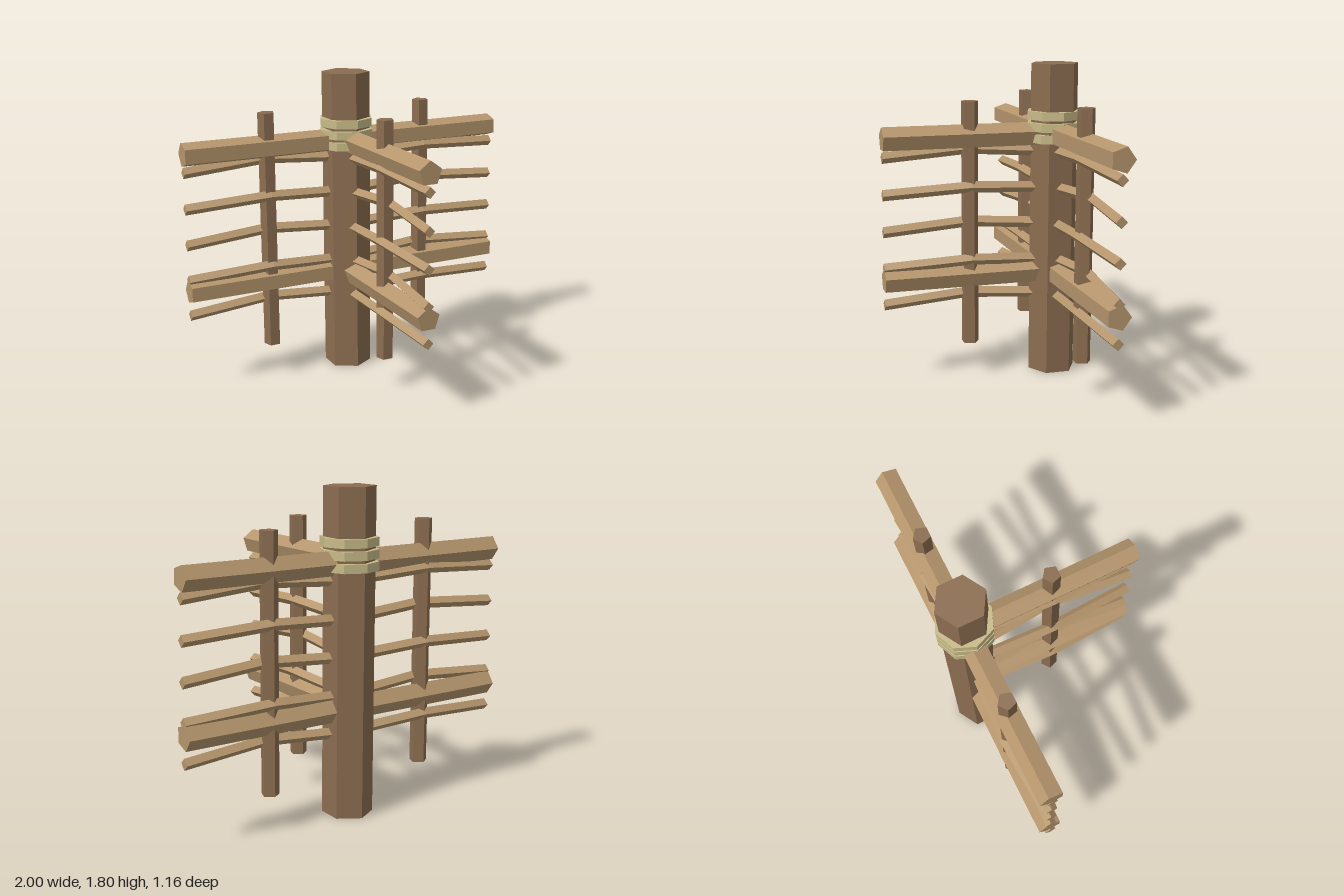
import * as THREE from 'three';

const POST_Z = -0.42;

// Four-sided stick lofted along +x through three diamond sections, bent at the middle
function slatGeometry(bend, r = 0.032) {
  const sections = [[0, 0, 0], [0.5, 0.03, bend], [1, 0, 0]];
  const corner = ([x, y, z], k) => {
    const a = (k * Math.PI) / 2;
    return [x, y + r * Math.cos(a), z + r * Math.sin(a)];
  };
  const pos = [];
  const quad = (a, b, c, d) => pos.push(...a, ...b, ...c, ...a, ...c, ...d);
  for (let i = 0; i < 2; i++) {
    const s = sections[i], t = sections[i + 1];
    for (let k = 0; k < 4; k++) quad(corner(s, k), corner(s, k + 1), corner(t, k + 1), corner(t, k));
  }
  const e = sections[2], b = sections[0];
  quad(corner(e, 0), corner(e, 1), corner(e, 2), corner(e, 3));
  quad(corner(b, 3), corner(b, 2), corner(b, 1), corner(b, 0));
  const g = new THREE.BufferGeometry();
  g.setAttribute('position', new THREE.Float32BufferAttribute(pos, 3));
  g.computeVertexNormals();
  return g;
}

export function createModel() {
  const material = (name, color) => {
    const m = new THREE.MeshStandardMaterial({ color, flatShading: true });
    m.name = name;
    return m;
  };
  const darkWood = material('dark wood', 0x8b6d50);
  const lightWood = material('light wood', 0xb5956c);
  const rope = material('rope', 0xc8bb88);

  const model = new THREE.Group();
  model.name = 'fenceJunction';
  const add = (parent, name, geometry, mat, x = 0, y = 0, z = 0) => {
    const mesh = new THREE.Mesh(geometry, mat);
    mesh.name = name;
    mesh.position.set(x, y, z);
    parent.add(mesh);
    return mesh;
  };

  // Central hexagonal post
  add(model, 'post', new THREE.CylinderGeometry(0.14, 0.14, 1.8, 6), darkWood, 0, 0.9, POST_Z);

  // Rope lashing
  for (const y of [1.38, 1.445, 1.51]) {
    add(model, 'ropeBand', new THREE.CylinderGeometry(0.16, 0.16, 0.048, 8), rope, 0, y, POST_Z);
  }

  // Three fence arms, each laid out along its own +x
  const arms = [
    { name: 'leftArm', turn: 0, railRoll: Math.PI },
    { name: 'rightArm', turn: Math.PI, railRoll: 0 },
    { name: 'frontArm', turn: -Math.PI / 2, railRoll: -Math.PI / 2 },
  ];
  for (const { name, turn, railRoll } of arms) {
    const arm = new THREE.Group();
    arm.name = name;
    arm.position.z = POST_Z;
    arm.rotation.y = turn;
    model.add(arm);

    // Heavy five-sided rails
    for (const y of [0.6, 1.4]) {
      const rail = new THREE.CylinderGeometry(0.07, 0.07, 1, 5);
      rail.rotateZ(-Math.PI / 2).rotateX(railRoll);
      add(arm, 'rail', rail, lightWood, 0.5, y, 0);
    }

    // Upright picket, its ridge always facing the back
    const picket = new THREE.CylinderGeometry(0.05, 0.05, 1.4, 5).rotateY(Math.PI - turn);
    add(arm, 'picket', picket, darkWood, 0.5, 0.9, 0);

    // Thin bent slats, woven alternately to either side
    for (let i = 0; i < 5; i++) {
      add(arm, 'slat', slatGeometry(i % 2 ? -0.033 : 0.033), lightWood, 0, 0.46 + i * 0.21, 0);
    }
  }
  return model;
}
